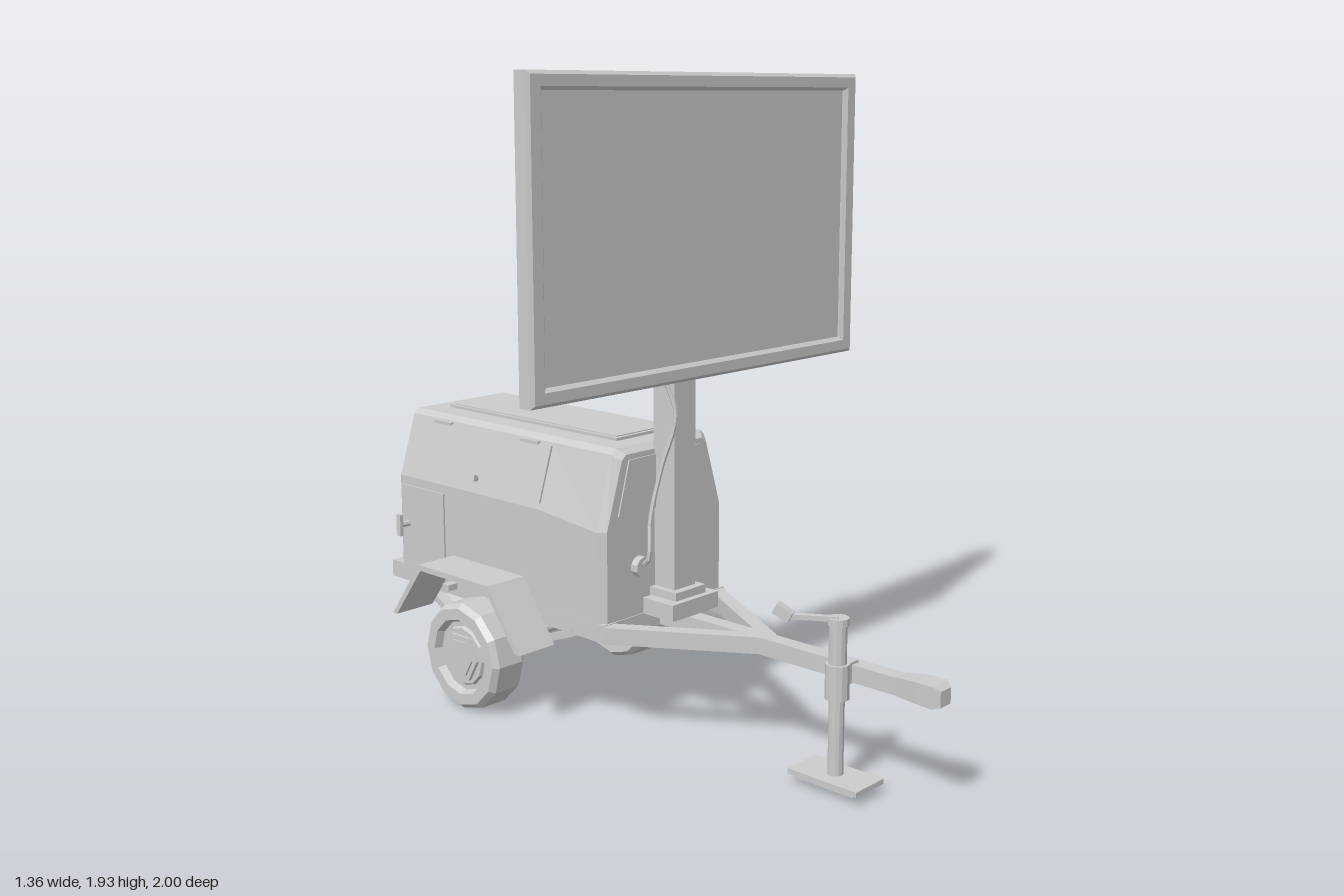
import * as THREE from 'three';

const mat = new THREE.MeshStandardMaterial({ color: 0xcccccc, flatShading: true });
const V = (x, y, z) => new THREE.Vector3(x, y, z);

function add(parent, name, geo, x = 0, y = 0, z = 0) {
  const m = new THREE.Mesh(geo, mat);
  m.name = name;
  m.position.set(x, y, z);
  parent.add(m);
  return m;
}
const box = (p, name, w, h, d, x, y, z) => add(p, name, new THREE.BoxGeometry(w, h, d), x, y, z);
const tube = (p, name, r, h, x, y, z, n = 12) => add(p, name, new THREE.CylinderGeometry(r, r, h, n), x, y, z);

// rectangular beam between two points
function beam(p, name, a, b, w, h) {
  const m = box(p, name, w, h, a.distanceTo(b), 0, 0, 0);
  m.position.copy(a).add(b).multiplyScalar(0.5);
  m.lookAt(b);
  return m;
}

// closed solid through rings listed front to back, each counter-clockwise seen from +z
function loft(rings) {
  const pos = [], n = rings[0].length, last = rings.length - 1;
  const tri = (...v) => v.forEach(q => pos.push(q.x, q.y, q.z));
  for (let k = 0; k < last; k++) for (let i = 0; i < n; i++) {
    const j = (i + 1) % n, f = rings[k], b = rings[k + 1];
    tri(f[i], b[i], f[j]);
    tri(f[j], b[i], b[j]);
  }
  for (let i = 1; i < n - 1; i++) {
    tri(rings[0][0], rings[0][i], rings[0][i + 1]);
    tri(rings[last][0], rings[last][i + 1], rings[last][i]);
  }
  const g = new THREE.BufferGeometry();
  g.setAttribute('position', new THREE.Float32BufferAttribute(pos, 3));
  g.computeVertexNormals();
  return g;
}
const rect = (hw, y0, y1, z) => [V(-hw, y0, z), V(hw, y0, z), V(hw, y1, z), V(-hw, y1, z)];
const shape = pts => new THREE.Shape(pts.map(p => new THREE.Vector2(p[0], p[1])));

// T-shaped door latch pointing outwards on side s
function latch(p, s, x, y, z, tilt, vertical) {
  const g = new THREE.Group();
  g.name = 'doorLatch';
  g.position.set(s * x, y, z);
  g.rotation.z = s * tilt;
  tube(g, 'latchStem', 0.01, 0.05, s * 0.02, 0, 0, 8).rotation.z = Math.PI / 2;
  box(g, 'latchGrip', 0.012, vertical ? 0.07 : 0.02, vertical ? 0.02 : 0.07, s * 0.042, 0, 0);
  p.add(g);
}

function buildHousing(p) {
  // housing with bevelled ends and sloping shoulders
  const ring = (z, i, crease) => {
    const half = [[0.262 - i, 0.355], [0.262 - i, crease], [0.2 - i, 0.85 - i], [0.182 - i, 0.866 - i]];
    return [...half.map(q => V(q[0], q[1], z)), ...half.reverse().map(q => V(-q[0], q[1], z))];
  };
  add(p, 'housing', loft([ring(-0.005, 0.018, 0.63), ring(-0.03, 0, 0.63), ring(-0.28, 0, 0.655),
    ring(-0.94, 0, 0.655), ring(-0.965, 0.018, 0.645)]));
  box(p, 'roofPanel', 0.215, 0.012, 0.77, 0, 0.869, -0.485);
  box(p, 'roofPanelInset', 0.19, 0.012, 0.745, 0, 0.872, -0.485);
  const front = shape([[-0.2, 0.67], [0.2, 0.67], [0.155, 0.832], [-0.155, 0.832]]);
  add(p, 'frontPanel', new THREE.ExtrudeGeometry(front, { depth: 0.008, bevelEnabled: false }), 0, 0, -0.008);

  const tilt = Math.atan2(0.062, 0.2);
  for (const s of [1, -1]) {
    const door = box(p, 'upperDoor', 0.012, 0.175, 0.605, s * 0.23, 0.756, -0.577);
    door.rotation.z = s * tilt;
    for (const z of [-0.37, -0.78]) box(p, 'doorHinge', 0.012, 0.01, 0.08, s * 0.208, 0.842, z);
    latch(p, s, 0.247, 0.7, -0.57, tilt, false);
    box(p, 'lowerDoor', 0.012, 0.25, 0.21, s * 0.262, 0.502, -0.825);
    latch(p, s, 0.262, 0.5, -0.9, 0, true);
    // tail lamps and rear tie brackets
    for (const y of [0.395, 0.45]) {
      box(p, 'tailLamp', 0.05, 0.042, 0.022, s * 0.205, y, -0.97);
      box(p, 'tailLens', 0.034, 0.028, 0.01, s * 0.205, y, -0.982);
    }
    box(p, 'rearBracket', 0.02, 0.07, 0.02, s * 0.12, 0.375, -0.975);
  }
  // rear louvres
  box(p, 'grillePlate', 0.36, 0.27, 0.008, 0, 0.61, -0.966);
  for (let i = 0; i < 6; i++)
    box(p, 'louvre', 0.32, 0.026, 0.02, 0, 0.505 + i * 0.042, -0.972).rotation.x = 0.5;
}

function buildChassis(p) {
  for (const s of [1, -1]) {
    box(p, 'sideRail', 0.045, 0.055, 1, s * 0.24, 0.328, -0.5);
    beam(p, 'drawbarArm', V(s * 0.245, 0.328, -0.01), V(s * 0.005, 0.328, 0.39), 0.045, 0.05);
    // leaf spring
    const leaf = [[-0.13, 0.305], [-0.36, 0.215], [-0.66, 0.215], [-0.87, 0.305]];
    for (let i = 0; i < 3; i++)
      beam(p, 'leafSpring', V(s * 0.24, leaf[i][1], leaf[i][0]), V(s * 0.24, leaf[i + 1][1], leaf[i + 1][0]), 0.04, 0.022);
    box(p, 'axleClamp', 0.045, 0.14, 0.06, s * 0.24, 0.24, -0.505);
  }
  for (const z of [-0.025, -0.5, -0.977]) box(p, 'crossMember', 0.5, 0.053, 0.045, 0, 0.328, z);
  box(p, 'drawbar', 0.05, 0.05, 0.92, 0, 0.328, 0.44);
  add(p, 'coupler', loft([rect(0.024, 0.305, 0.35, 1), rect(0.036, 0.3, 0.362, 0.98),
    rect(0.036, 0.302, 0.362, 0.93), rect(0.026, 0.303, 0.355, 0.86)]));
  tube(p, 'axle', 0.016, 0.6, 0, 0.175, -0.505).rotation.z = Math.PI / 2;
}

function buildWheels(p) {
  const tyre = [[0, -0.045], [0.105, -0.045], [0.12, -0.06], [0.155, -0.063], [0.17, -0.045], [0.17, 0.045],
    [0.155, 0.063], [0.12, 0.063], [0.11, 0.04], [0.095, 0.04], [0.09, 0.05], [0, 0.05]];
  // folded mudguard outline as (z, y)
  const guard = [[-0.18, 0.25], [-0.315, 0.435], [-0.645, 0.435], [-0.78, 0.25],
    [-0.76, 0.25], [-0.635, 0.417], [-0.325, 0.417], [-0.2, 0.25]];
  for (const s of [1, -1]) {
    const w = add(p, 'wheel', new THREE.LatheGeometry(tyre.map(q => new THREE.Vector2(...q)), 12), s * 0.328, 0.17, -0.508);
    w.rotation.z = -s * Math.PI / 2;
    tube(w, 'hub', 0.078, 0.02, 0, 0.05, 0, 6);
    tube(w, 'hubCap', 0.06, 0.012, 0, 0.06, 0, 6);
    const g = new THREE.ExtrudeGeometry(shape(guard), { depth: 0.142, bevelEnabled: false });
    g.rotateY(-Math.PI / 2).translate(0.071, 0, 0);
    const dz = s > 0 ? 0 : -0.03;
    add(p, 'mudguard', g, s * 0.338, 0, dz);
    for (const z of [-0.31, -0.65]) box(p, 'mudguardBracket', 0.06, 0.02, 0.03, s * 0.27, 0.335, z + dz);
  }
}

function buildJack(p) {
  const x = -0.057, z = 0.69;
  box(p, 'jackFoot', 0.125, 0.015, 0.235, x, 0.035, z);
  box(p, 'jackFootRim', 0.105, 0.015, 0.2, x, 0.025, z);
  tube(p, 'jackLeg', 0.022, 0.26, x, 0.16, z);
  tube(p, 'jackSleeve', 0.034, 0.1, x, 0.31, z);
  tube(p, 'jackTube', 0.025, 0.14, x, 0.41, z);
  box(p, 'jackClamp', 0.06, 0.06, 0.05, x + 0.03, 0.33, z);
  tube(p, 'jackCap', 0.03, 0.02, x, 0.48, z);
  beam(p, 'crankArm', V(x, 0.488, z), V(x - 0.085, 0.488, z - 0.11), 0.018, 0.014);
  const grip = beam(p, 'crankGrip', V(x - 0.075, 0.49, z - 0.1), V(x - 0.105, 0.51, z - 0.135), 0.03, 0.03);
  grip.name = 'crankGrip';
}

function buildMast(p) {
  box(p, 'mastBase', 0.2, 0.05, 0.12, 0, 0.38, 0.06);
  box(p, 'mastCollar', 0.13, 0.03, 0.11, 0, 0.415, 0.045);
  box(p, 'mast', 0.09, 1.1, 0.085, 0, 0.93, 0.033);
  box(p, 'crossBar', 0.4, 0.045, 0.042, 0, 1.388, -0.009);
  // cable from the screen to a socket on the housing
  const path = new THREE.CatmullRomCurve3([V(-0.06, 1.23, 0.07), V(-0.06, 1.08, 0.05), V(-0.045, 0.96, 0.08),
    V(-0.075, 0.8, 0.05), V(-0.105, 0.65, 0.035), V(-0.12, 0.53, 0.04), V(-0.115, 0.505, 0)]);
  add(p, 'cable', new THREE.TubeGeometry(path, 30, 0.007, 6));
  tube(p, 'cableSocket', 0.032, 0.03, -0.115, 0.505, 0.005, 10).rotation.x = Math.PI / 2;
}

function buildScreen(p) {
  const outline = (w, h) => [[-w, -h], [w, -h], [w, h], [-w, h]];
  const rim = shape(outline(0.67, 0.42));
  rim.holes.push(new THREE.Path(outline(0.635, 0.39).reverse().map(q => new THREE.Vector2(...q))));
  add(p, 'screenRim', new THREE.ExtrudeGeometry(rim,
    { depth: 0.04, bevelThickness: 0.01, bevelSize: 0.01, bevelSegments: 1 }), 0, 1.502, 0.11);
  box(p, 'screenPanel', 1.29, 0.8, 0.044, 0, 1.502, 0.123);
  add(p, 'mountingPyramid', loft([rect(0.415, 1.215, 1.6, 0.105), rect(0.37, 1.305, 1.49, 0.018)]));
  for (const x of [-0.605, 0.605]) for (const y of [1.14, 1.88]) {
    box(p, 'lug', 0.035, 0.035, 0.02, x, y, 0.095);
    tube(p, 'lugBolt', 0.01, 0.012, x, y, 0.083, 8).rotation.x = Math.PI / 2;
  }
}

export function createModel() {
  const model = new THREE.Group();
  model.name = 'signTrailer';
  const trailer = new THREE.Group();
  trailer.name = 'trailer';
  trailer.position.x = -0.008;
  model.add(trailer);
  for (const build of [buildHousing, buildChassis, buildWheels, buildJack, buildMast]) build(trailer);
  const screen = new THREE.Group();
  screen.name = 'screen';
  buildScreen(screen);
  model.add(screen);
  return model;
}
